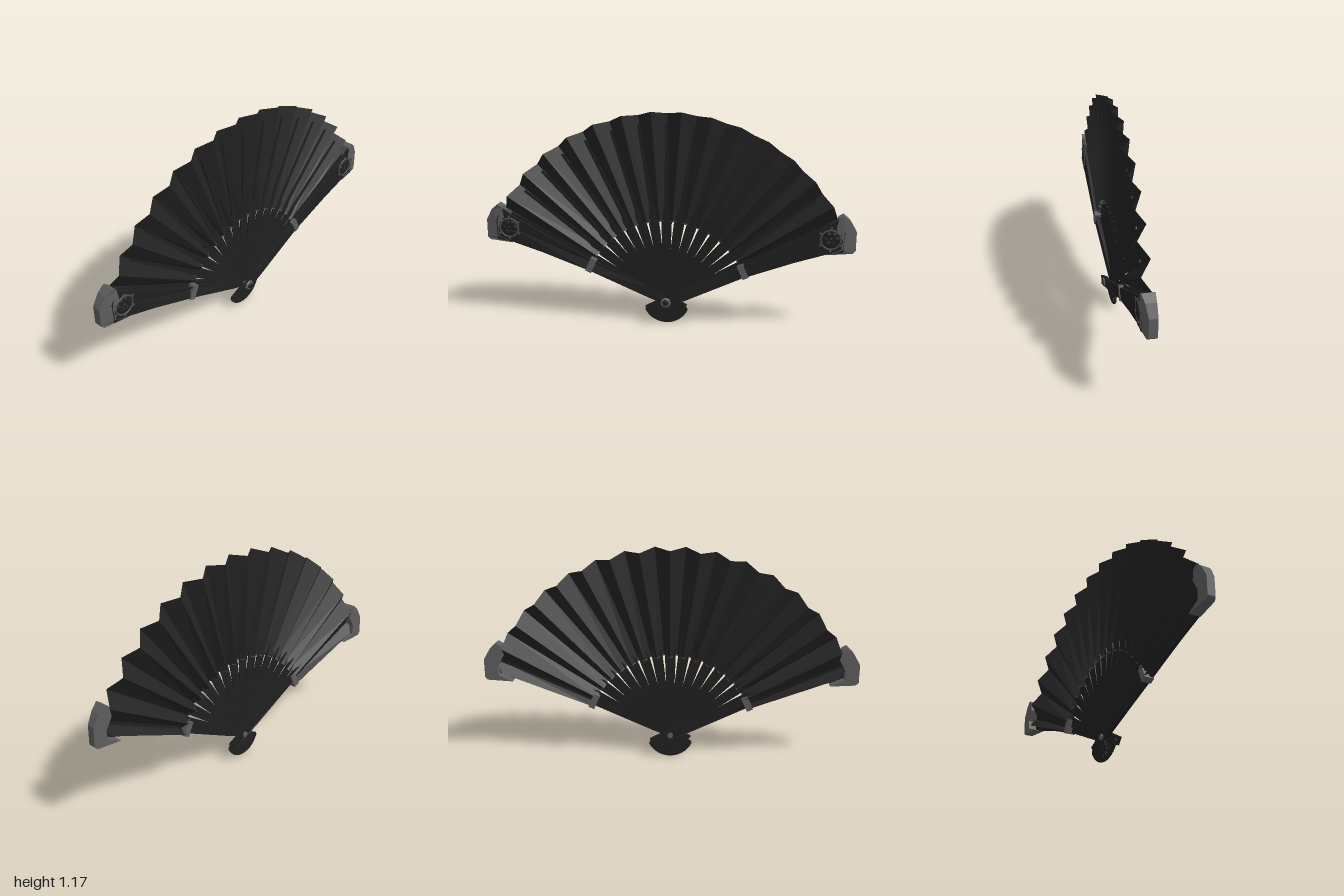
import * as THREE from 'three';

const PIVOT_Y = 0.13;
const STEP = THREE.MathUtils.degToRad(8.8);
const clamp = THREE.MathUtils.clamp;

const material = (name, color, options = {}) => {
  const m = new THREE.MeshStandardMaterial({ color, flatShading: true, ...options });
  m.name = name;
  return m;
};

// Strip of folded quads between two rows of points
function strip(inner, outer) {
  const pos = [], index = [];
  inner.forEach((p, i) => {
    pos.push(...p, ...outer[i]);
    if (i) {
      const a = 2 * (i - 1);
      index.push(a, a + 2, a + 1, a + 1, a + 2, a + 3);
    }
  });
  const g = new THREE.BufferGeometry();
  g.setAttribute('position', new THREE.Float32BufferAttribute(pos, 3));
  g.setIndex(index);
  g.computeVertexNormals();
  return g;
}

// Flat plate from an outline, optionally mirrored, with a rule that shifts z
function plate(points, z0, z1, side = 1, rule = null) {
  const shape = new THREE.Shape(points.map(([x, y]) => new THREE.Vector2(x * side, y)));
  const g = new THREE.ExtrudeGeometry(shape, { depth: z1 - z0, bevelEnabled: false });
  g.translate(0, 0, z0);
  if (rule) {
    const p = g.attributes.position;
    for (let i = 0; i < p.count; i++) p.setZ(i, p.getZ(i) + rule(p.getX(i) * side, p.getZ(i)));
    g.computeVertexNormals();
  }
  return g;
}

export function createModel() {
  const leafMat = material('black cloth', 0x232323, { side: THREE.DoubleSide });
  const woodMat = material('dark wood', 0x202020);
  const metalMat = material('grey metal', 0x5e5e5e);
  const trimMat = material('grey trim', 0x4a4a4a, { side: THREE.DoubleSide });

  const group = new THREE.Group();
  group.name = 'foldingFan';
  const add = (name, geometry, mat, parent = group) => {
    const mesh = new THREE.Mesh(geometry, mat);
    mesh.name = name;
    parent.add(mesh);
    return mesh;
  };

  // Pleated leaf: back folds on even half steps, front folds on odd ones
  const folds = [];
  for (let i = -16; i <= 16; i++) {
    folds.push({ a: clamp(i * STEP / 2, -1.2, 1.2), front: i % 2 !== 0, end: Math.abs(i) === 16 });
  }
  const row = (rFront, rBack, zFront, zBack) => folds.map(({ a, front, end }) => {
    const r = end ? Math.min(rBack, 0.97) : front ? rFront : rBack;
    return [Math.sin(a) * r, PIVOT_Y + Math.cos(a) * r, front ? zFront : zBack];
  });
  add('leaf', strip(row(0.46, 0.455, 0.012, -0.03), row(1.042, 1.026, 0.012, -0.043)), leafMat);
  add('leafInnerTrim', strip(row(0.453, 0.449, 0.012, -0.03), row(0.46, 0.455, 0.012, -0.03)), trimMat);

  // Sticks: fanned blades with rounded tails, stacked from back to front
  const sticks = new THREE.Group();
  sticks.name = 'sticks';
  group.add(sticks);
  const blade = [
    [-0.019, -0.115], [-0.01, -0.128], [0.01, -0.128], [0.019, -0.115],
    [0.01, 0], [0.026, 0.38], [0.029, 0.47], [0.012, 0.53], [0.007, 0.98],
    [-0.007, 0.98], [-0.012, 0.53], [-0.029, 0.47], [-0.026, 0.38], [-0.01, 0],
  ];
  for (let i = 0; i < 15; i++) {
    const z = -0.019 + i * 0.001;
    const stick = add('stick', plate(blade, z, z + 0.006), woodMat, sticks);
    stick.position.y = PIVOT_Y;
    stick.rotation.z = (i - 7) * STEP;
    stick.rotation.z *= -1;
  }

  // Guards: the left-hand one passes behind the pivot, the other in front
  const guardOutline = [
    [-0.112, 0.105], [-0.08, 0.07], [0.1, 0.143], [0.41, 0.285], [0.68, 0.385], [0.85, 0.44],
    [0.935, 0.452], [0.94, 0.56], [0.91, 0.63], [0.87, 0.6], [0.43, 0.36], [0.1, 0.205], [0, 0.165],
  ];
  const capOutline = [
    [0.905, 0.635], [0.93, 0.65], [0.965, 0.62], [1, 0.56], [1, 0.46], [0.985, 0.445],
    [0.85, 0.437], [0.925, 0.47], [0.93, 0.52], [0.895, 0.58],
  ];
  for (const side of [1, -1]) {
    const guard = new THREE.Group();
    guard.name = side > 0 ? 'leftGuard' : 'rightGuard';
    group.add(guard);

    const shift = side > 0 ? 0.012 : -0.03;
    add('guardBlade', plate(guardOutline, 0.004, 0.02, side,
      x => shift * clamp((0.43 - x) / 0.43, 0, 1)), woodMat, guard);
    add('guardCap', plate(capOutline, -0.042, 0.022, side,
      (x, z) => (z > 0 ? -0.022 * clamp((x - 0.93) / 0.07, 0, 1) : 0)), metalMat, guard);

    // Clasp around the guard
    const clasp = add('clasp', new THREE.BoxGeometry(0.035, 0.08, 0.052), metalMat, guard);
    clasp.position.set(side * 0.415, 0.322, -0.003);
    clasp.rotation.z = side * 0.42;

    // Round ornament with a petalled centre
    const ornament = new THREE.Group();
    ornament.name = 'ornament';
    ornament.position.set(side * 0.868, 0.52, 0.02);
    guard.add(ornament);
    add('ornamentRing', new THREE.TorusGeometry(0.052, 0.005, 6, 20), trimMat, ornament);
    for (let i = 0; i < 6; i++) {
      const a = i * Math.PI / 3;
      const petal = add('petal', new THREE.SphereGeometry(0.018, 8, 6), woodMat, ornament);
      petal.scale.z = 0.4;
      petal.position.set(Math.cos(a) * 0.027, Math.sin(a) * 0.027, 0);
      const bead = add('bead', new THREE.SphereGeometry(0.007, 6, 4), trimMat, ornament);
      bead.position.set(Math.cos(a + 0.52) * 0.062, Math.sin(a + 0.52) * 0.062, 0);
    }
    const core = add('ornamentCentre', new THREE.SphereGeometry(0.014, 8, 6), woodMat, ornament);
    core.scale.z = 0.6;
  }

  // Pivot pin with a stepped head
  const pin = (name, r, z0, z1, mat) => {
    const g = new THREE.CylinderGeometry(r * 0.8, r, z1 - z0, 8);
    g.rotateX(Math.PI / 2);
    g.translate(0, PIVOT_Y, (z0 + z1) / 2);
    add(name, g, mat);
  };
  pin('pivotPin', 0.016, -0.032, 0.03, metalMat);
  pin('pivotWasher', 0.03, 0.03, 0.038, metalMat);
  pin('pivotHead', 0.017, 0.038, 0.046, woodMat);

  return group;
}
